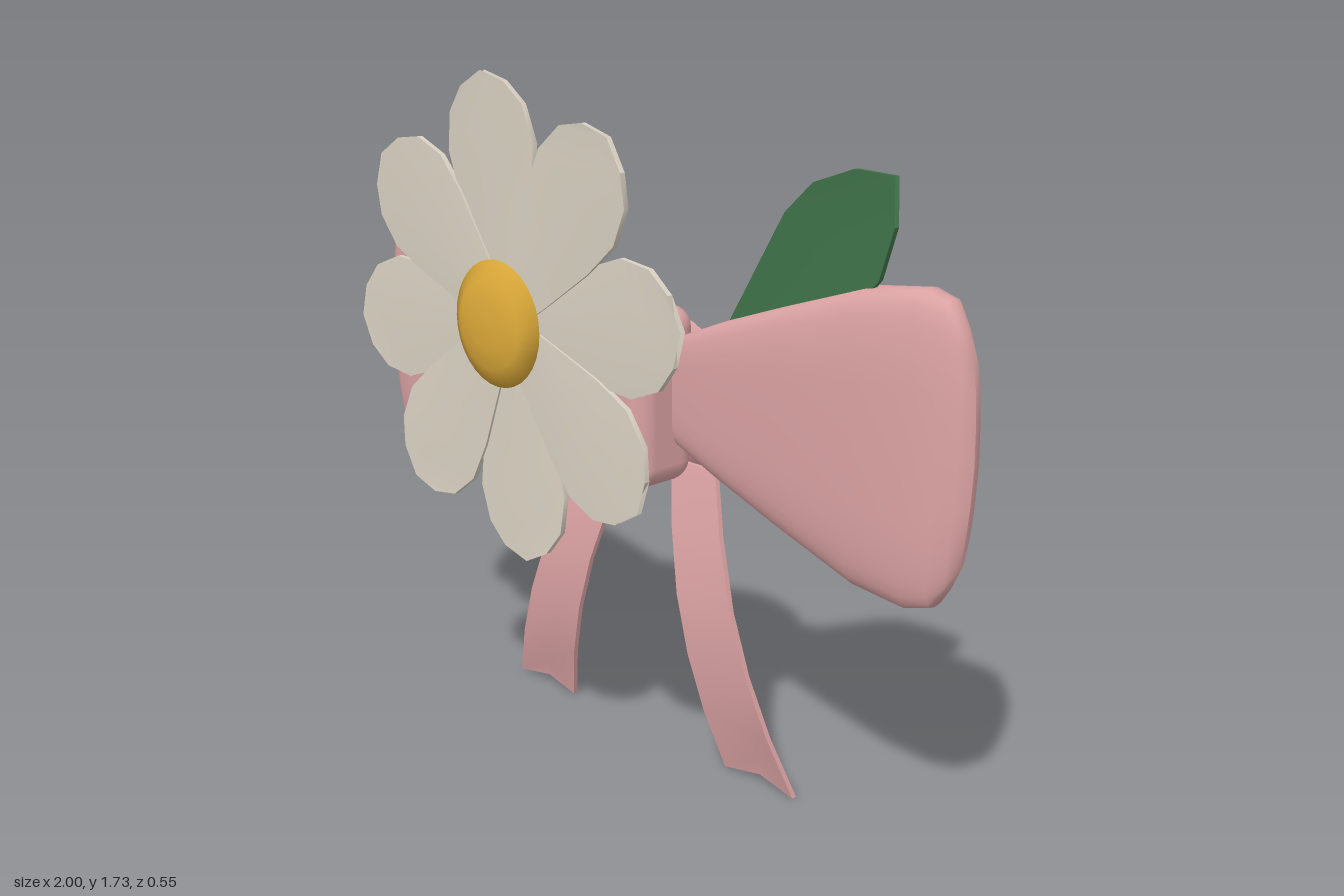
import * as THREE from 'three';
import { toCreasedNormals } from 'three/addons/utils/BufferGeometryUtils.js';
import { RoundedBoxGeometry } from 'three/addons/geometries/RoundedBoxGeometry.js';

const mat = (name, color) => Object.assign(new THREE.MeshStandardMaterial({ color }), { name });

// Skin a list of equal-length point rings and close both ends
function loft(rings) {
  const n = rings[0].length, pos = rings.flat(2), index = [];
  for (let i = 0; i < rings.length - 1; i++) {
    for (let j = 0; j < n; j++) {
      const a = i * n + j, b = i * n + (j + 1) % n;
      index.push(a, b, b + n, a, b + n, a + n);
    }
  }
  const cap = (start, flip) => {
    const ring = rings[start / n], c = pos.length / 3;
    for (let k = 0; k < 3; k++) pos.push(ring.reduce((s, p) => s + p[k], 0) / n);
    for (let j = 0; j < n; j++) {
      const a = start + j, b = start + (j + 1) % n;
      index.push(c, flip ? b : a, flip ? a : b);
    }
  };
  cap(0, true);
  cap((rings.length - 1) * n, false);
  const g = new THREE.BufferGeometry();
  g.setAttribute('position', new THREE.Float32BufferAttribute(pos, 3));
  g.setIndex(index);
  g.computeVertexNormals();
  return g;
}

// Thin strip running up y; station = [centre x, y, half width, z, lift of middle in y, lift of middle in z]
function blade(stations, thick) {
  const h = thick / 2;
  return toCreasedNormals(loft(stations.map(([cx, y, w, z, my = 0, mz = 0]) => [
    [cx - w, y, z + h], [cx, y + my, z + mz + h], [cx + w, y, z + h],
    [cx + w, y, z - h], [cx, y + my, z + mz - h], [cx - w, y, z - h],
  ])), 0.6);
}

// Puffed bow loop running out along +x
function bowLoop() {
  const stations = [ // x, half height, half thickness, bulge of the outer edge
    [0.08, 0.1, 0.04, 0], [0.3, 0.19, 0.052, 0], [0.5, 0.26, 0.068, 0], [0.72, 0.335, 0.075, 0],
    [0.86, 0.352, 0.065, 0], [0.93, 0.335, 0.05, 0.01], [0.975, 0.29, 0.03, 0.025], [1.0, 0.23, 0.008, 0.02],
  ];
  const N = 32, pw = (v) => Math.sign(v) * Math.abs(v) ** 0.55;
  return loft(stations.map(([x, hh, ht, bulge]) => Array.from({ length: N }, (_, j) => {
    const t = j / N * Math.PI * 2, y = pw(Math.cos(t));
    return [x - bulge * y * y, hh * y, ht * pw(Math.sin(t))];
  })));
}

// Flat round lens facing z
function lens(r, h) {
  const profile = [[0, -1], [0.35, -0.95], [0.7, -0.7], [1, 0], [0.7, 0.7], [0.35, 0.95], [0, 1]];
  return new THREE.LatheGeometry(profile.map(([a, b]) => new THREE.Vector2(a * r, b * h)), 32).rotateX(Math.PI / 2);
}

export function createModel() {
  const group = new THREE.Group();
  const pink = mat('ribbon pink', 0xdca3a4);
  const cream = mat('petal cream', 0xd9d1c2);
  const yellow = mat('flower centre yellow', 0xdeab3a);
  const green = mat('leaf green', 0x42774c);
  const add = (name, geo, material, x = 0, y = 0, z = 0, parent = group) => {
    const m = new THREE.Mesh(geo, material);
    m.name = name;
    m.position.set(x, y, z);
    parent.add(m);
    return m;
  };

  // Bow loops and tails, one per side
  for (const s of [1, -1]) {
    const side = s > 0 ? 'left' : 'right';
    add(side + 'BowLoop', bowLoop(), pink, 0, 0.983, -0.122).rotation.y = s > 0 ? 0 : Math.PI;
    const tail = [[0, -0.175, 0.055], [0.15, -0.138, 0], [0.3, -0.119, 0], [0.45, -0.12, 0], [0.62, -0.147, 0], [0.77, -0.187, 0]]
      .map(([y, z, notch]) => {
        const k = y / 0.77;
        return [s * (0.4 - 0.255 * k), y + 0.004, 0.112 - 0.037 * k, z, notch];
      });
    add(side + 'Tail', blade(tail, 0.014), pink);
  }

  // Knot and backing disc
  add('knot', new RoundedBoxGeometry(0.34, 0.44, 0.2, 4, 0.055), pink, 0, 0.965, -0.072);
  add('backDisc', lens(0.205, 0.026), pink, 0, 0.925, -0.247);

  // Flower head
  const flower = new THREE.Group();
  flower.name = 'flower';
  flower.position.set(-0.1, 1.155, 0);
  group.add(flower);
  for (let i = 0; i < 8; i++) {
    const z = 0.2 + (i % 2) * 0.007;
    const petal = blade([
      [0, 0.02, 0.04, z], [0, 0.15, 0.085, z, 0, 0.004], [0, 0.3, 0.133, z, 0, 0.006],
      [0, 0.41, 0.155, z + 0.003, 0, 0.006], [0, 0.5, 0.132, z + 0.006, 0, 0.004],
      [0, 0.555, 0.078, z + 0.01, 0.03, 0],
    ], 0.014);
    add('petal', petal, cream, 0, 0, 0, flower).rotation.z = THREE.MathUtils.degToRad(7 + 45 * i);
  }
  add('flowerCentre', lens(0.153, 0.036), yellow, 0, 0, 0.238, flower);
  add('calyx', lens(0.168, 0.025), green, 0, 0, 0.165, flower);

  // Stem from knot to calyx
  const from = new THREE.Vector3(-0.06, 1.08, -0.02), to = new THREE.Vector3(-0.1, 1.142, 0.138);
  const dir = to.clone().sub(from), mid = from.clone().add(to).multiplyScalar(0.5);
  const stem = add('stem', toCreasedNormals(new THREE.CylinderGeometry(0.042, 0.042, dir.length(), 6), 0.6), green, mid.x, mid.y, mid.z);
  stem.quaternion.setFromUnitVectors(new THREE.Vector3(0, 1, 0), dir.normalize());

  // Leaf tucked behind the bow
  const leaf = blade([
    [0, 0, 0.015, -0.168], [0, 0.25, 0.05, -0.148], [0, 0.5, 0.1, -0.122, 0, -0.006],
    [0, 0.68, 0.138, -0.107, 0, -0.008], [0, 0.79, 0.132, -0.1, 0, -0.006], [0, 0.9, 0.078, -0.092, 0.07, 0],
  ], 0.014);
  add('leaf', leaf, green, 0.1, 0.87, 0).rotation.z = -Math.PI / 4;

  return group;
}
